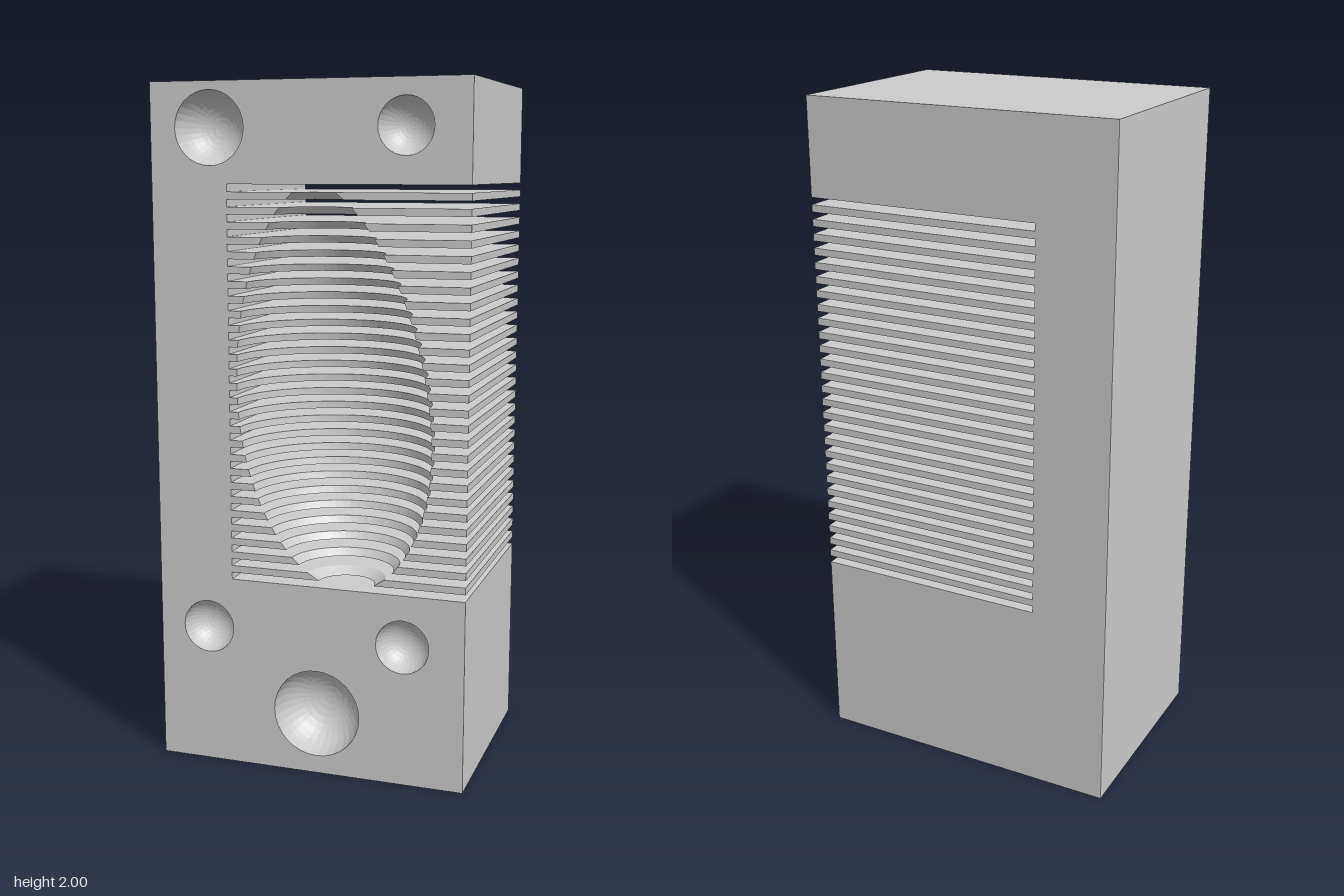
import * as THREE from 'three';

const X = 0.467, F = 0.325, H = 2;              // half width, half depth, height
const SLOT_X = -0.237, LOW = 0.57, HIGH = 1.717; // slotted zone
const FINS = 27;

const v2 = (x, y) => new THREE.Vector2(x, y);

// Solid between two matching counter-clockwise loops at h0 and h1; holes pierce the upper cap only
function loft(lower, upper, h0, h1, holes = []) {
  const pos = [];
  const put = (p, h) => pos.push(p.x, p.y, h);
  const n = lower.length;
  for (let i = 0; i < n; i++) {
    const j = (i + 1) % n;
    put(lower[i], h0); put(lower[j], h0); put(upper[j], h1);
    put(lower[i], h0); put(upper[j], h1); put(upper[i], h1);
  }
  const all = [upper, ...holes].flat();
  for (const [a, b, c] of THREE.ShapeUtils.triangulateShape(upper, holes)) {
    put(all[a], h1); put(all[b], h1); put(all[c], h1);
  }
  for (const [a, b, c] of THREE.ShapeUtils.triangulateShape(lower, [])) {
    put(lower[a], h0); put(lower[c], h0); put(lower[b], h0);
  }
  const g = new THREE.BufferGeometry();
  g.setAttribute('position', new THREE.Float32BufferAttribute(pos, 3));
  g.computeVertexNormals();
  return g;
}

// Egg cavity: radius and centre of its round section at height y
function eggSection(y) {
  const mid = 1.06;
  const u = y > mid ? (y - mid) / (1.725 - mid) : (mid - y) / (mid - 0.57);
  const r = 0.285 * Math.pow(Math.max(1 - u * u, 0.0005), y > mid ? 0.62 : 0.5);
  return { r, cx: 0.076 - (y - mid) * 0.085 };
}

// Plan outline of a fin with the half-round cavity cut in its front edge
function finLoop(y) {
  const { r, cx } = eggSection(y);
  const pts = [v2(SLOT_X, -F)];
  const steps = 32;
  for (let i = 0; i <= steps; i++) {
    const a = Math.PI * (1 - i / steps);
    pts.push(v2(cx + r * Math.cos(a), -F + r * Math.sin(a)));
  }
  pts.push(v2(X, -F), v2(X, F), v2(SLOT_X, F));
  return pts;
}

export function createModel() {
  const model = new THREE.Group();
  const grey = new THREE.MeshStandardMaterial({ color: 0xcccccc, flatShading: true });
  const inner = new THREE.MeshStandardMaterial({ color: 0xcccccc, flatShading: true, side: THREE.BackSide });
  const add = (geometry, name, material = grey) => {
    const mesh = new THREE.Mesh(geometry, material);
    mesh.name = name;
    model.add(mesh);
    return mesh;
  };

  // Round sockets in the front face: x, y, radius
  const sockets = [
    [-0.288, 1.872, 0.104], [0.284, 1.873, 0.079],
    [-0.314, 0.417, 0.079], [0.284, 0.417, 0.079], [0.024, 0.184, 0.131],
  ];
  const SEG = 32;
  const holes = sockets.map(([x, y, r]) => Array.from({ length: SEG }, (_, i) => {
    const a = -i / SEG * Math.PI * 2;
    return v2(x + r * Math.cos(a), y + r * Math.sin(a));
  }));

  // C-shaped block: base, spine and head
  const outline = () => [
    v2(-X, 0), v2(X, 0), v2(X, LOW), v2(SLOT_X, LOW),
    v2(SLOT_X, HIGH), v2(X, HIGH), v2(X, H), v2(-X, H),
  ];
  add(loft(outline(), outline(), -F, F, holes), 'block');

  // Hemispherical socket linings
  sockets.forEach(([x, y, r], i) => {
    const g = new THREE.SphereGeometry(r, SEG, 10, 0, Math.PI * 2, 0, Math.PI / 2);
    g.rotateX(-Math.PI / 2);
    add(g, `socket${i + 1}`, inner).position.set(x, y, F);
  });

  // Stack of fins with equal gaps, each hollowed by the egg cavity
  const t = (HIGH - LOW) / (2 * FINS + 1);
  for (let i = 0; i < FINS; i++) {
    const y0 = LOW + t * (2 * i + 1), y1 = y0 + t;
    const g = loft(finLoop(y0), finLoop(y1), y0, y1);
    g.rotateX(-Math.PI / 2);
    add(g, `fin${i + 1}`);
  }
  return model;
}
